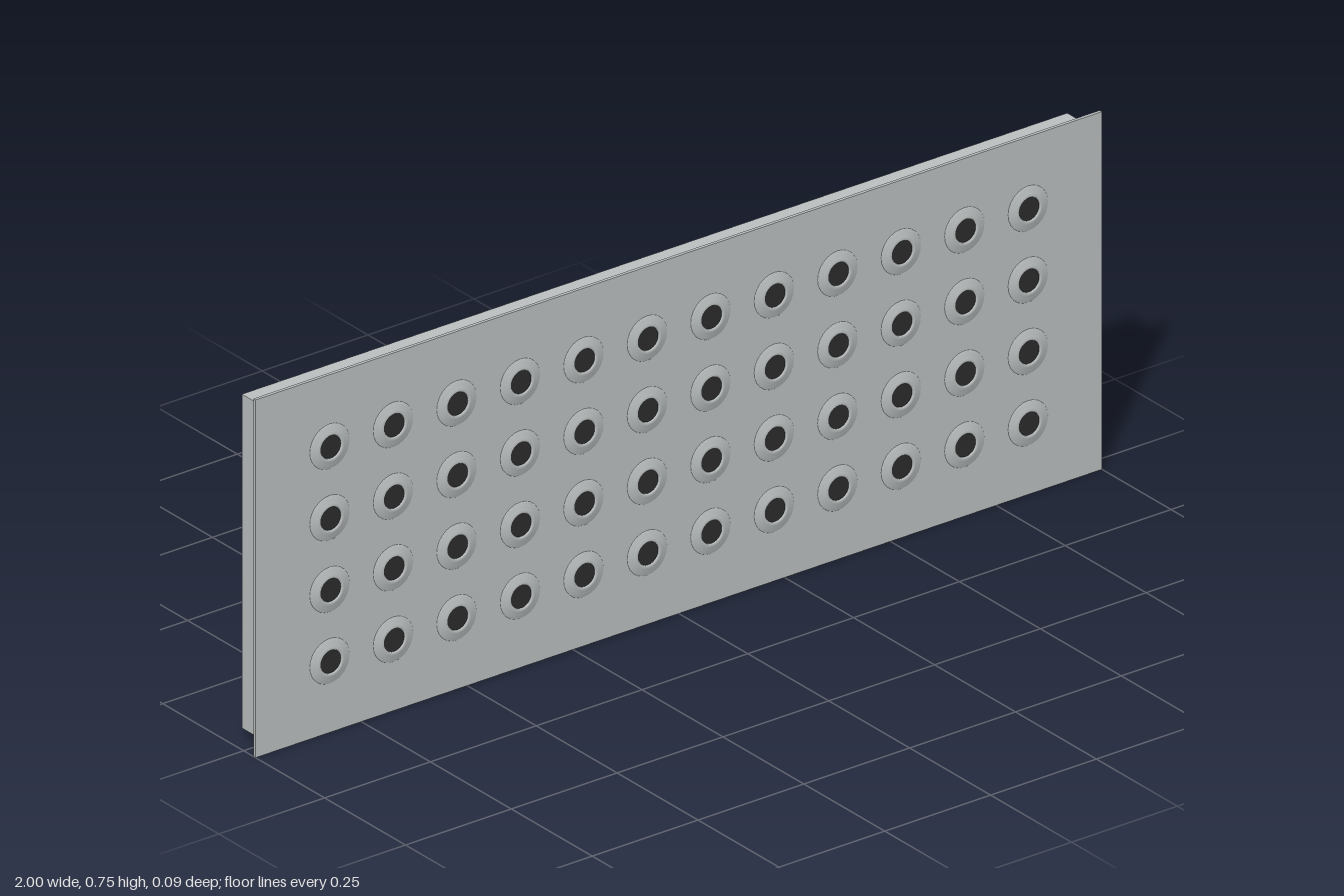
import * as THREE from 'three';

export function createModel() {
  const model = new THREE.Group();
  model.name = 'nozzlePanel';
  const grey = new THREE.MeshStandardMaterial({ color: 0xbabebe });
  grey.name = 'brushed grey';
  const black = new THREE.MeshStandardMaterial({ color: 0x2b2b2b });
  black.name = 'black';

  // Box given by its size and its z range, centred at half height
  const slab = (name, w, h, z0, z1, material) => {
    const mesh = new THREE.Mesh(new THREE.BoxGeometry(w, h, z1 - z0), material);
    mesh.name = name;
    mesh.position.set(0, 0.375, (z0 + z1) / 2);
    model.add(mesh);
  };
  slab('frontPlate', 2, 0.75, 0.03, 0.037, grey);
  slab('housing', 1.95, 0.7, -0.038, 0.03, grey);
  slab('backPanel', 1.94, 0.69, -0.0425, -0.0405, black);

  // Low flared collar: wide thin flange rising to a rounded lip round the opening
  const profile = [
    [0.047, 0], [0.046, 0.0012], [0.038, 0.003], [0.032, 0.005],
    [0.028, 0.006], [0.025, 0.0055], [0.024, 0.004], [0.024, 0],
  ].map(([r, y]) => new THREE.Vector2(r, y));
  const collarGeometry = new THREE.LatheGeometry(profile, 24).rotateX(Math.PI / 2);
  const openingGeometry = new THREE.CircleGeometry(0.0245, 24);
  grey.side = THREE.DoubleSide;

  // Four rows of twelve nozzles
  for (let row = 0; row < 4; row++) {
    for (let col = 0; col < 12; col++) {
      const nozzle = new THREE.Group();
      nozzle.name = 'nozzle';
      nozzle.position.set((col - 5.5) * 0.15, 0.15 + row * 0.15, 0.037);
      const collar = new THREE.Mesh(collarGeometry, grey);
      collar.name = 'collar';
      const opening = new THREE.Mesh(openingGeometry, black);
      opening.name = 'opening';
      opening.position.z = 0.003;
      nozzle.add(collar, opening);
      model.add(nozzle);
    }
  }
  return model;
}
